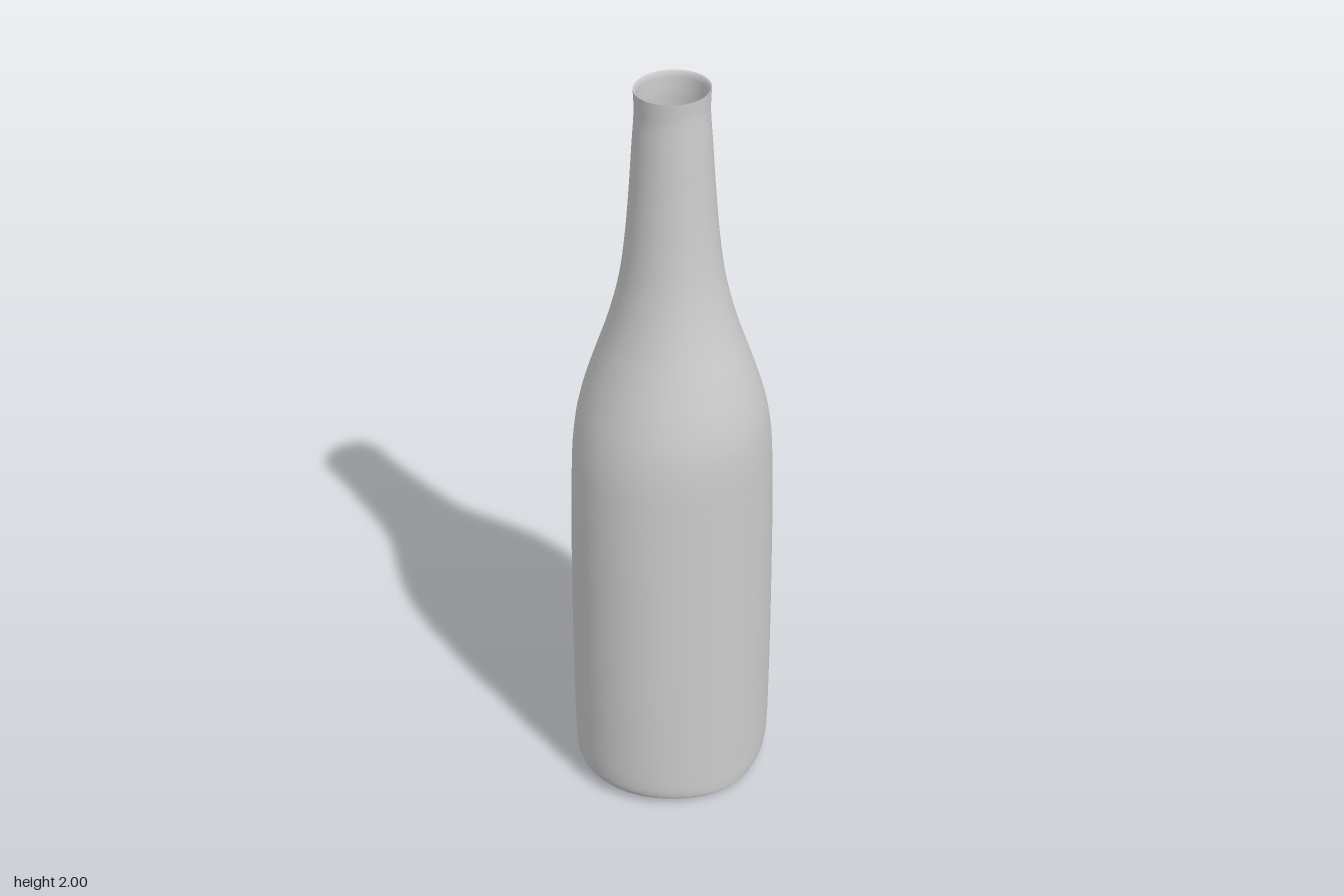
import * as THREE from 'three';

const SEG = 72;

// Skin a stack of elliptical rings; each ring is a Vector3 (radius x, height, radius z).
function loft(rings, shift = () => 0) {
  const pos = [], index = [];
  rings.forEach((r, i) => {
    for (let j = 0; j <= SEG; j++) {
      const a = (j % SEG) / SEG * Math.PI * 2;
      pos.push(r.x * Math.cos(a), r.y + shift(a, r.y), r.z * Math.sin(a));
      if (i && j) {
        const d = i * (SEG + 1) + j, c = d - 1, b = d - SEG - 1, e = b - 1;
        index.push(e, c, b, b, c, d);
      }
    }
  });
  const g = new THREE.BufferGeometry();
  g.setAttribute('position', new THREE.Float32BufferAttribute(pos, 3));
  g.setIndex(index);
  g.computeVertexNormals();
  // Match the normals on both sides of the seam
  const n = g.attributes.normal, v = new THREE.Vector3(), w = new THREE.Vector3();
  rings.forEach((r, i) => {
    const a = i * (SEG + 1), b = a + SEG;
    v.fromBufferAttribute(n, a).add(w.fromBufferAttribute(n, b)).normalize();
    n.setXYZ(a, v.x, v.y, v.z);
    n.setXYZ(b, v.x, v.y, v.z);
  });
  return g;
}

const toRings = rows => rows.map(([x, y, z]) => new THREE.Vector3(x, y, z));

export function createModel() {
  const group = new THREE.Group();
  group.name = 'bottle';
  const material = new THREE.MeshStandardMaterial({ color: 0xcccccc, side: THREE.DoubleSide });
  const add = (name, geometry) => {
    const mesh = new THREE.Mesh(geometry, material);
    mesh.name = name;
    group.add(mesh);
  };

  // Slightly uneven foot: dips at the sides, a little more on the right
  const footDip = (a, y) => {
    const c = Math.cos(a);
    return -(c < 0 ? 0.015 : 0.009) * c ** 8 * Math.max(0, 1 - (y - 0.015) / 0.05);
  };

  // Body, shoulder and neck: [radius x, height, radius z]
  const profile = new THREE.CatmullRomCurve3(toRings([
    [0.239, 0.015, 0.235], [0.24, 0.022, 0.254], [0.241, 0.04, 0.266], [0.241, 0.075, 0.272],
    [0.241, 0.2, 0.275], [0.241, 0.4, 0.276], [0.241, 0.6, 0.274], [0.241, 0.8, 0.27],
    [0.241, 0.95, 0.263], [0.24, 1.04, 0.255], [0.234, 1.12, 0.24], [0.217, 1.2, 0.217],
    [0.192, 1.28, 0.19], [0.165, 1.36, 0.163], [0.142, 1.44, 0.141], [0.125, 1.52, 0.125],
    [0.112, 1.62, 0.113], [0.102, 1.74, 0.103], [0.094, 1.86, 0.095], [0.088, 1.94, 0.09],
    [0.087, 1.965, 0.091], [0.088, 2, 0.093],
  ]));
  add('body', loft(profile.getPoints(150), footDip));

  // Lip folded into the mouth
  add('lip', loft(toRings([
    [0.088, 2, 0.093], [0.084, 1.998, 0.088], [0.081, 1.985, 0.084], [0.081, 1.94, 0.083],
  ])));

  // Flat floor, seen through the open neck
  add('base', loft(toRings([
    [0.239, 0.015, 0.235], [0.2, 0.016, 0.2], [0.1, 0.016, 0.1], [0.0001, 0.016, 0.0001],
  ]), (a, y) => (y < 0.0155 ? footDip(a, y) : 0)));

  return group;
}
